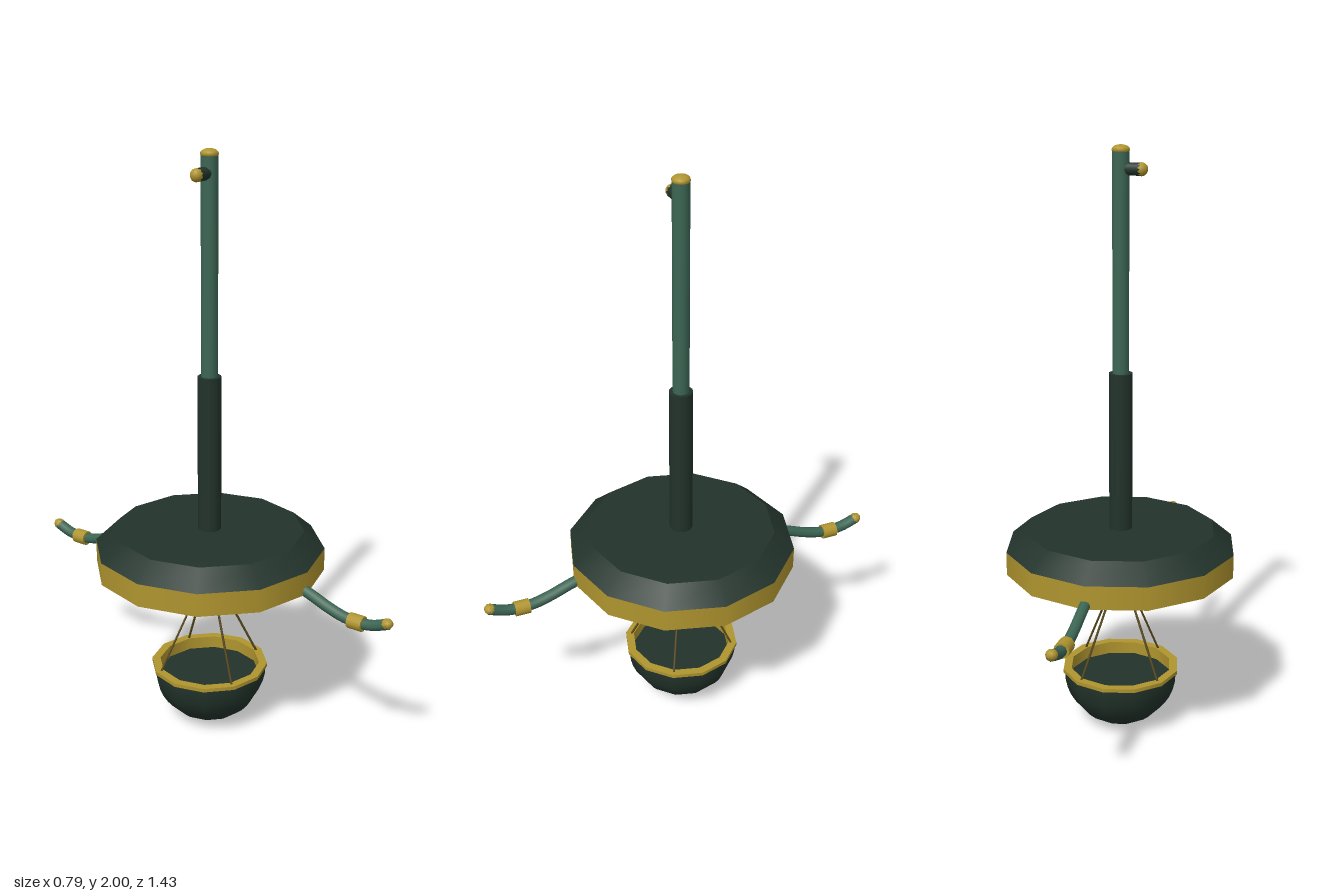
import * as THREE from 'three';

const paint = (color) => new THREE.MeshStandardMaterial({ color, side: THREE.DoubleSide });

export function createModel() {
  const root = new THREE.Group();
  const dark = paint(0x22332b), green = paint(0x3c6654), gold = paint(0xb0952f);
  const brown = paint(0x25120d), cord = paint(0x5a4a1e);

  const add = (name, geometry, material, x = 0, y = 0, z = 0, parent = root) => {
    const mesh = new THREE.Mesh(geometry, material);
    mesh.name = name;
    mesh.position.set(x, y, z);
    parent.add(mesh);
    return mesh;
  };
  const cyl = (rTop, rBottom, y0, y1, sides = 12, open = false) =>
    new THREE.CylinderGeometry(rTop, rBottom, y1 - y0, sides, 1, open).translate(0, (y0 + y1) / 2, 0);

  // Twelve-sided disc: gold band, bevelled dark top, brown underside
  add('discBand', cyl(0.395, 0.395, 0.585, 0.665, 12, true), gold);
  add('discTop', cyl(0.325, 0.395, 0.665, 0.725), dark);
  add('discUnderside', new THREE.CircleGeometry(0.395, 12).rotateX(Math.PI / 2), brown, 0, 0.585);

  // Telescoping pole with a domed cap
  add('poleSleeve', cyl(0.04, 0.04, 0.72, 1.265), dark);
  add('pole', cyl(0.028, 0.028, 1.26, 1.98), green);
  add('poleCap', new THREE.SphereGeometry(0.03, 12, 8).scale(1, 0.55, 1), gold, 0, 1.984);

  // Side knob near the top, pointing to the model's right
  const knob = new THREE.Group();
  knob.name = 'sideKnob';
  knob.position.y = 1.925;
  knob.rotation.z = Math.PI / 2;
  root.add(knob);
  add('knobStem', cyl(0.021, 0.021, 0.015, 0.068, 10), dark, 0, 0, 0, knob);
  add('knobTip', new THREE.SphereGeometry(0.022, 10, 8).scale(1, 0.95, 1), gold, 0, 0.068, 0, knob);

  // Two curved arms, front and back
  const armPath = new THREE.CatmullRomCurve3([
    [0.32, 0.615], [0.4, 0.593], [0.48, 0.562], [0.535, 0.546],
    [0.585, 0.541], [0.64, 0.546], [0.7, 0.568],
  ].map(([z, y]) => new THREE.Vector3(0, y, z)));
  for (const [side, turn] of [['front', 0], ['back', Math.PI]]) {
    const arm = new THREE.Group();
    arm.name = side + 'Arm';
    arm.rotation.y = turn;
    root.add(arm);
    add('armTube', new THREE.TubeGeometry(armPath, 20, 0.019, 8), green, 0, 0, 0, arm);
    add('armCollar', cyl(0.026, 0.026, -0.026, 0.026).rotateX(Math.PI / 2), gold, 0, 0.541, 0.585, arm);
    add('armTip', new THREE.SphereGeometry(0.02, 10, 8).scale(1, 0.9, 1.1), gold, 0, 0.567, 0.694, arm)
      .rotation.x = -0.35;
  }

  // Hanging bowl with a raised gold rim and a flat dark inside
  add('bowl', new THREE.SphereGeometry(0.2, 12, 10, 0, Math.PI * 2, Math.PI / 2, Math.PI / 2), dark, 0, 0.2);
  add('bowlFloor', new THREE.CircleGeometry(0.176, 12).rotateX(-Math.PI / 2), dark, 0, 0.17);
  add('rimOutside', cyl(0.205, 0.205, 0.2, 0.213, 12, true), gold);
  add('rimInside', cyl(0.176, 0.176, 0.17, 0.213, 12, true), gold);
  add('rimTop', new THREE.RingGeometry(0.176, 0.205, 12).rotateX(-Math.PI / 2), gold, 0, 0.213);

  // Small hook bar and four cords holding the bowl
  add('hookBar', new THREE.BoxGeometry(0.014, 0.012, 0.07), green, 0, 0.582);
  const top = new THREE.Vector3(0, 0.583, 0);
  for (let i = 0; i < 4; i++) {
    const a = Math.PI / 6 + i * Math.PI / 2;
    const end = new THREE.Vector3(0.186 * Math.cos(a), 0.208, 0.186 * Math.sin(a));
    add('cord', new THREE.TubeGeometry(new THREE.LineCurve3(top, end), 1, 0.004, 6), cord);
  }

  return root;
}
